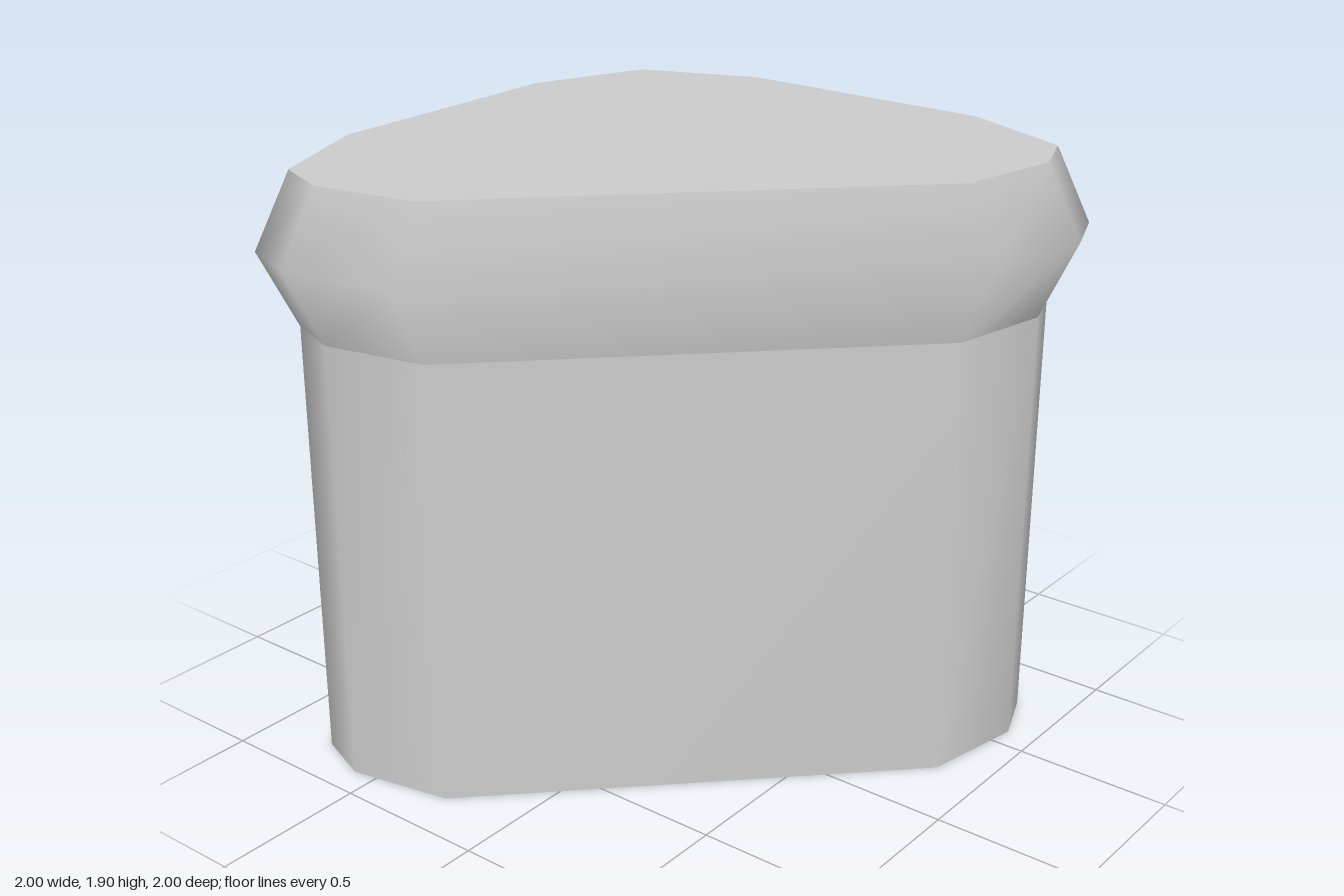
import * as THREE from 'three';

// Rounded-triangle outline as [x, z], clockwise seen from above
const OUTLINE = [
  [-0.39, -0.91], [0.465, -0.91], [0.835, -0.76], [0.905, -0.58], [0.84, -0.25],
  [-0.25, 0.84], [-0.58, 0.905], [-0.76, 0.835], [-0.91, 0.465], [-0.91, -0.39], [-0.76, -0.76],
];
const BULGE = 1.1;
const HEIGHT = 1.9;

const material = new THREE.MeshStandardMaterial({ color: 0xcccccc });

// Smooth wall through outline rings given as [height, scale]
function wall(name, rings) {
  const n = OUTLINE.length;
  const positions = [];
  const index = [];
  rings.forEach(([y, s]) => OUTLINE.forEach(([x, z]) => positions.push(x * s, y, z * s)));
  for (let r = 0; r < rings.length - 1; r++) {
    for (let i = 0; i < n; i++) {
      const a = r * n + i;
      const b = r * n + (i + 1) % n;
      index.push(a, a + n, b, b, a + n, b + n);
    }
  }
  const geometry = new THREE.BufferGeometry();
  geometry.setAttribute('position', new THREE.Float32BufferAttribute(positions, 3));
  geometry.setIndex(index);
  geometry.computeVertexNormals();
  const mesh = new THREE.Mesh(geometry, material);
  mesh.name = name;
  return mesh;
}

// Flat end face; dir is 1 for facing up, -1 for facing down
function cap(name, y, dir) {
  const shape = new THREE.Shape(OUTLINE.map(([x, z]) => new THREE.Vector2(x, -z * dir)));
  const geometry = new THREE.ShapeGeometry(shape);
  geometry.rotateX(-dir * Math.PI / 2);
  geometry.translate(0, y, 0);
  const mesh = new THREE.Mesh(geometry, material);
  mesh.name = name;
  return mesh;
}

export function createModel() {
  const group = new THREE.Group();
  group.name = 'collaredPost';
  group.add(
    wall('shaft', [[0, 1], [1.425, 1]]),
    wall('collar', [[1.425, 1], [1.66, BULGE], [HEIGHT, 1]]),
    cap('topFace', HEIGHT, 1),
    cap('bottomFace', 0, -1),
  );
  return group;
}
